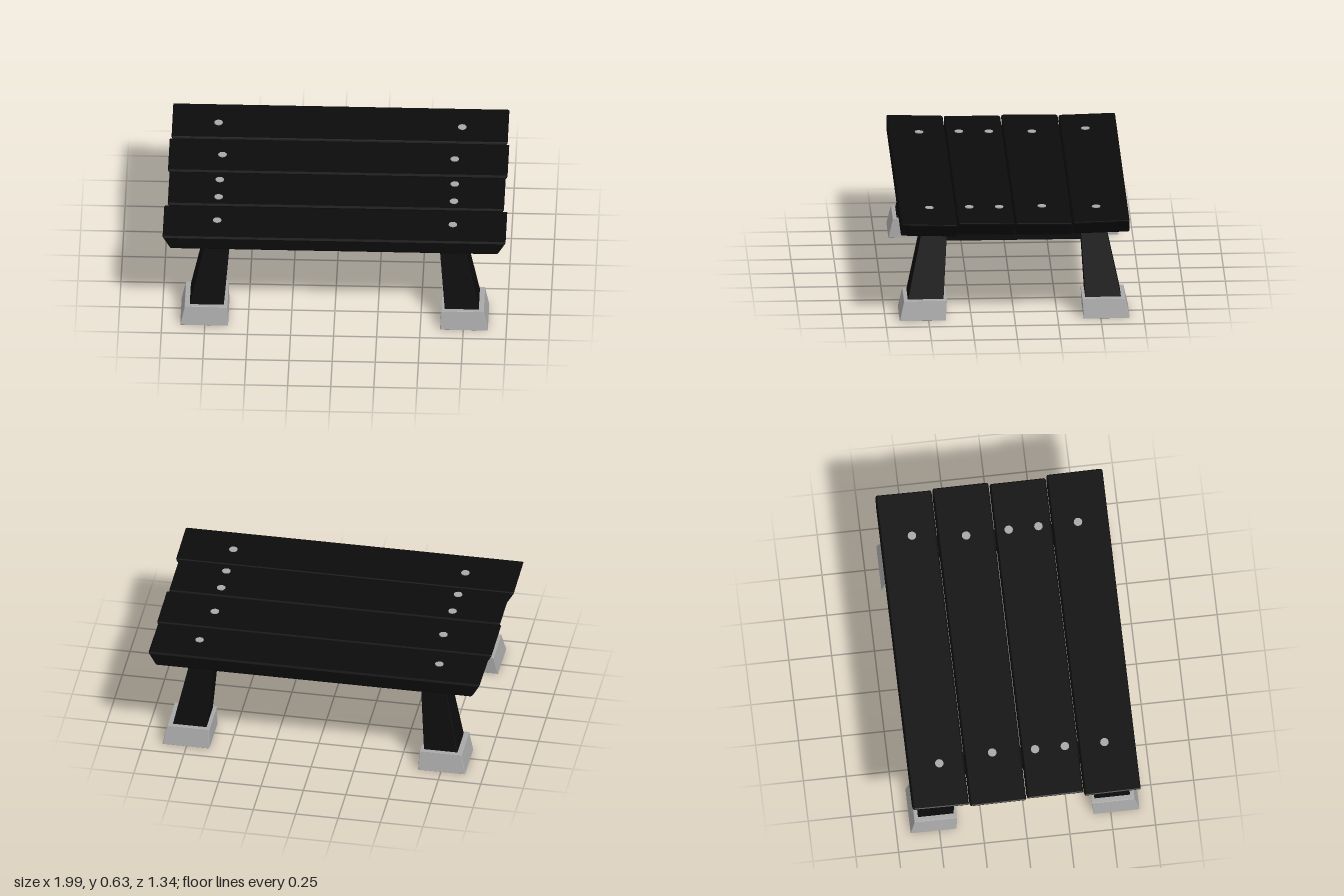
import * as THREE from 'three';
import { RoundedBoxGeometry } from 'three/addons/geometries/RoundedBoxGeometry.js';

const blackWood = new THREE.MeshStandardMaterial({ color: 0x0b0b0b });
blackWood.name = 'blackWood';
const greyMetal = new THREE.MeshStandardMaterial({ color: 0xa8a8a8 });
greyMetal.name = 'greyMetal';

// Rounded unit block whose vertices are moved by a rule
function shapedBlock(name, material, size, radius, rule) {
  let geo = new RoundedBoxGeometry(size[0], size[1], size[2], 1, radius);
  if (geo.index) geo = geo.toNonIndexed();
  const pos = geo.attributes.position;
  const v = new THREE.Vector3();
  for (let i = 0; i < pos.count; i++) {
    v.fromBufferAttribute(pos, i);
    rule(v);
    pos.setXYZ(i, v.x, v.y, v.z);
  }
  geo.computeVertexNormals();
  const mesh = new THREE.Mesh(geo, material);
  mesh.name = name;
  return mesh;
}

// Block tapering from a bottom rectangle to a top one: [x0, x1, z0, z1]
function taperedBlock(name, material, y0, y1, bottom, top, sx, sz) {
  const mix = THREE.MathUtils.lerp;
  return shapedBlock(name, material, [1, 1, 1], 0.015, (v) => {
    const t = v.y + 0.5;
    const e = bottom.map((b, i) => mix(b, top[i], t));
    const u = sx * v.x + 0.5;
    const w = sz * v.z + 0.5;
    // Mirroring the lookup as well as the result keeps the corner order
    v.set(sx * mix(e[0], e[1], u), mix(y0, y1, t), sz * mix(e[2], e[3], w));
  });
}

export function createModel() {
  const table = new THREE.Group();
  table.name = 'lowTable';

  // Top planks: centre z, half length, centre y, rise towards +z
  const planks = [
    ['frontPlank', 0.5, 1.0, 0.579, 0.03],
    ['frontMiddlePlank', 0.167, 0.98, 0.578, 0.012],
    ['backMiddlePlank', -0.167, 0.99, 0.576, 0.015],
    ['backPlank', -0.5, 0.98, 0.58, -0.025],
  ];
  for (const [name, z, half, y, slope] of planks) {
    table.add(shapedBlock(name, blackWood, [2 * half, 0.086, 0.328], 0.01, (v) => {
      // Undercut ends and a slight tilt
      v.x *= 1 - 0.05 * (0.5 - v.y / 0.086);
      v.y += y + slope * v.z;
      v.z += z;
    }));
  }

  // Splayed legs standing in metal shoes
  for (const sx of [-1, 1]) {
    for (const sz of [-1, 1]) {
      const leg = new THREE.Group();
      leg.name = (sz > 0 ? 'front' : 'back') + (sx > 0 ? 'Left' : 'Right') + 'Leg';
      leg.add(
        taperedBlock('legPost', blackWood, 0.1, 0.54,
          [0.642, 0.842, 0.412, 0.622], [0.605, 0.745, 0.385, 0.528], sx, sz),
        taperedBlock('legShoe', greyMetal, 0, 0.115,
          [0.615, 0.893, 0.4, 0.668], [0.62, 0.868, 0.393, 0.642], sx, sz));
      table.add(leg);
    }
  }

  // Rails joining the legs
  for (const s of [-1, 1]) {
    const longRail = new THREE.Mesh(new RoundedBoxGeometry(1.24, 0.1, 0.1, 1, 0.008), blackWood);
    longRail.position.set(0, 0.48, s * 0.452);
    longRail.name = s > 0 ? 'frontRail' : 'backRail';
    const sideRail = new THREE.Mesh(new RoundedBoxGeometry(0.1, 0.098, 0.8, 1, 0.008), blackWood);
    sideRail.position.set(s * 0.675, 0.479, 0);
    sideRail.name = s > 0 ? 'leftRail' : 'rightRail';
    table.add(longRail, sideRail);
  }

  // Bolt heads on the planks: x, z, plank index
  const bolts = [[0.707, -0.48, 3], [0.674, -0.167, 2], [0.682, 0.082, 1], [0.683, 0.256, 1], [0.684, 0.487, 0]];
  const boltGeo = new THREE.CylinderGeometry(0.025, 0.025, 0.009, 12);
  for (const [x, z, index] of bolts) {
    const [, pz, , py, slope] = planks[index];
    for (const s of [-1, 1]) {
      const bolt = new THREE.Mesh(boltGeo, greyMetal);
      bolt.position.set(s * x, py + 0.043 + slope * (z - pz), z);
      bolt.rotation.x = -Math.atan(slope);
      bolt.name = 'boltHead';
      table.add(bolt);
    }
  }
  return table;
}
